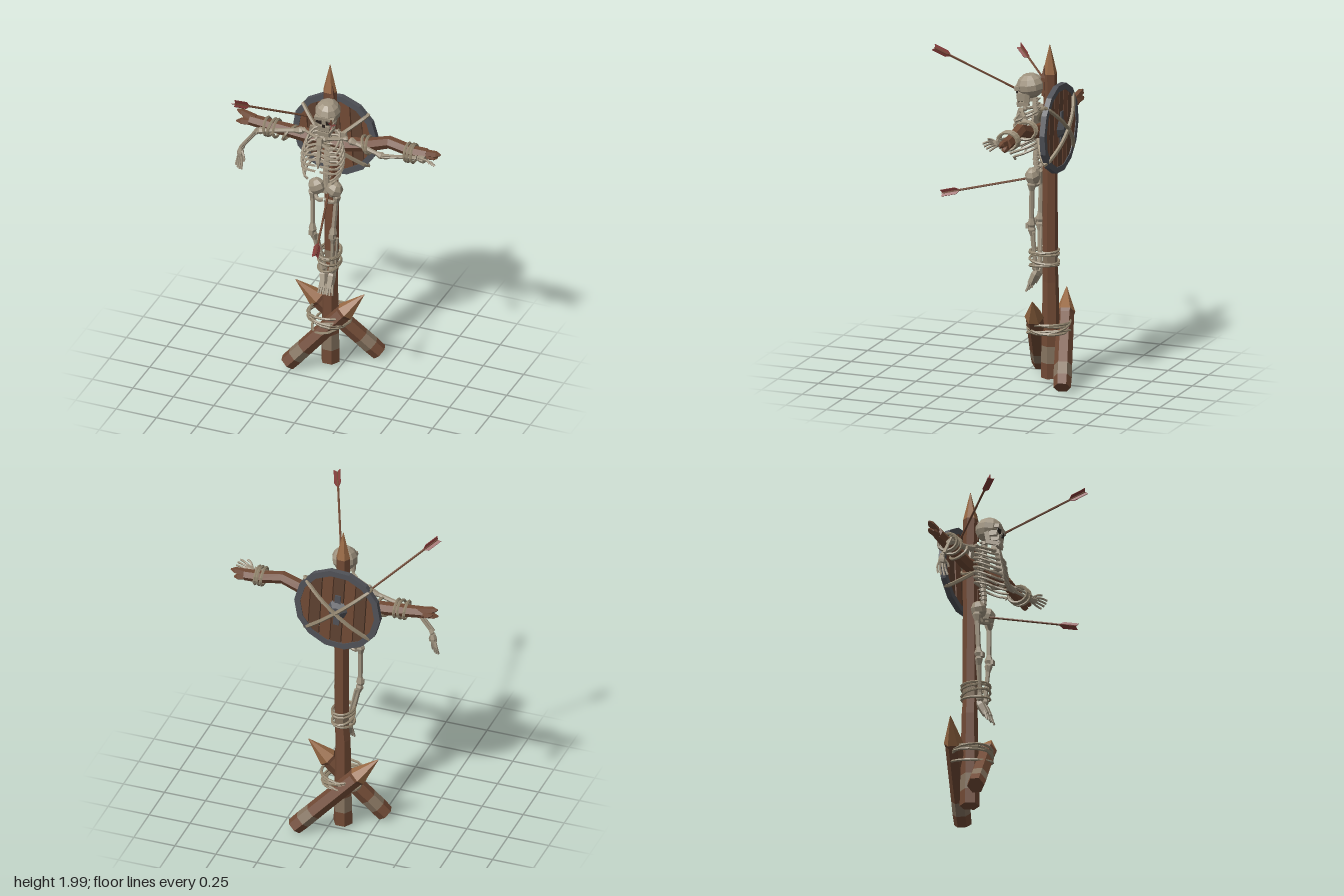
import * as THREE from 'three';

const mat = (name, color) => {
  const m = new THREE.MeshStandardMaterial({ color });
  m.name = name;
  return m;
};
const V = (x, y, z) => new THREE.Vector3(x, y, z);
const CX = -0.06; // centre line of the body

export function createModel() {
  const root = new THREE.Group();
  const wood = mat('wood', 0x714a35), cutWood = mat('cutWood', 0x996a45), plankWood = mat('plankWood', 0x5f4231);
  const worn = mat('wornWood', 0x85735f), bone = mat('bone', 0xa09480), rope = mat('rope', 0x93866f);
  const iron = mat('iron', 0x505258), red = mat('fletching', 0x833a38), dark = mat('socket', 0x2b231d);

  // Every part is faceted
  const add = (name, geo, material, parent = root) => {
    const g = geo.index ? geo.toNonIndexed() : geo;
    g.computeVertexNormals();
    const m = new THREE.Mesh(g, material);
    m.name = name;
    parent.add(m);
    return m;
  };
  const group = (name, parent = root) => {
    const g = new THREE.Group();
    g.name = name;
    parent.add(g);
    return g;
  };

  // Faceted bar through rings [x, y, z, radius]; optional material index for each section
  const loft = (name, rings, material, parent = root, sides = 6, sections = null) => {
    const c = rings.map(r => V(r[0], r[1], r[2])), pos = [], geo = new THREE.BufferGeometry();
    const dir = c[c.length - 1].clone().sub(c[0]).normalize();
    const ref = Math.abs(dir.y) > 0.8 ? V(0, 0, 1) : V(0, 1, 0);
    const P = rings.map((r, i) => {
      const t = c[Math.min(i + 1, c.length - 1)].clone().sub(c[Math.max(i - 1, 0)]).normalize();
      const u = ref.clone().addScaledVector(t, -ref.dot(t)).normalize(), v = t.clone().cross(u);
      return Array.from({ length: sides }, (_, j) => {
        const a = (j + 0.5) / sides * Math.PI * 2;
        return c[i].clone().addScaledVector(u, r[3] * Math.cos(a)).addScaledVector(v, r[3] * Math.sin(a));
      });
    });
    const tri = (...ps) => ps.forEach(p => pos.push(p.x, p.y, p.z));
    const last = rings.length - 1;
    for (let i = 0; i < last; i++) {
      const start = pos.length / 3;
      for (let j = 0; j < sides; j++) {
        const k = (j + 1) % sides;
        tri(P[i][j], P[i][k], P[i + 1][j], P[i][k], P[i + 1][k], P[i + 1][j]);
        if (i === 0) tri(c[0], P[0][k], P[0][j]);
        if (i === last - 1) tri(c[last], P[last][j], P[last][k]);
      }
      if (sections) geo.addGroup(start, pos.length / 3 - start, sections[i]);
    }
    geo.setAttribute('position', new THREE.Float32BufferAttribute(pos, 3));
    return add(name, geo, material, parent);
  };
  const woods = [wood, worn, cutWood];
  // Straight bar from a to b with [fraction, radius] stations
  const bar = (name, a, b, stations, material, parent, sides, sections) => loft(name,
    stations.map(([t, r]) => [...V(...a).lerp(V(...b), t).toArray(), r]), material, parent, sides, sections);
  const limb = (name, a, b, r, parent) => bar(name, a, b,
    [[0, r * 1.3], [0.06, r * 1.8], [0.2, r], [0.8, r * 0.95], [0.94, r * 1.7], [1, r * 1.2]], bone, parent, 6);
  const tube = (name, pts, r, material, parent, closed = false, n = 14) => add(name,
    new THREE.TubeGeometry(new THREE.CatmullRomCurve3(pts, closed), n, r, 5, closed), material, parent);
  // Rope loop: an ellipse lying flat, then turned and moved
  const ropeLoop = (name, p, rx, rz, rot, parent, r = 0.008) => {
    const e = new THREE.Euler(...rot);
    tube(name, Array.from({ length: 10 }, (_, i) => {
      const a = i / 10 * Math.PI * 2;
      return V(rx * Math.cos(a), 0, rz * Math.sin(a)).applyEuler(e).add(V(...p));
    }), r, rope, parent, true, 16);
  };
  const box = (name, size, p, material, parent, rot = [0, 0, 0]) => {
    const m = add(name, new THREE.BoxGeometry(...size), material, parent);
    m.position.set(...p);
    m.rotation.set(...rot);
    return m;
  };

  // Timber frame
  loft('post', [[-0.07, 0.03, -0.2, 0.057], [-0.07, 0.12, -0.2, 0.056], [-0.07, 0.22, -0.2, 0.053], [-0.07, 0.6, -0.2, 0.046],
    [-0.062, 0.7, -0.2, 0.043], [-0.062, 0.78, -0.2, 0.045], [-0.062, 1.25, -0.2, 0.043], [-0.07, 1.6, -0.2, 0.04],
    [-0.07, 1.83, -0.195, 0.042], [-0.07, 2, -0.195, 0.002]], woods, root, 6, [0, 1, 0, 0, 1, 0, 0, 0, 2]);
  bar('postSplinter', [-0.045, 1.7, -0.165], [-0.045, 1.88, -0.17], [[0, 0.012], [0.6, 0.016], [1, 0.001]], wood, root, 4);
  const beamShape = [[0, 0.05], [0.1, 0.053], [0.22, 0.052], [0.72, 0.05], [0.75, 0.056], [1, 0.002]];
  bar('frontBrace', [-0.275, 0.045, -0.055], [0.15, 0.53, -0.175], beamShape, woods, root, 6, [0, 1, 0, 0, 2]);
  bar('backBrace', [0.165, 0.045, -0.365], [-0.29, 0.51, -0.21], beamShape, woods, root, 6, [0, 1, 0, 0, 2]);
  loft('crossbar', [[-0.55, 1.545, -0.16, 0.034], [-0.4, 1.53, -0.165, 0.037], [-0.2, 1.515, -0.17, 0.042], [0.05, 1.515, -0.165, 0.043],
    [0.17, 1.54, -0.165, 0.04], [0.31, 1.59, -0.165, 0.037], [0.45, 1.562, -0.165, 0.035], [0.54, 1.56, -0.17, 0.034]], wood);
  for (const [x, y, z, y0] of [[-0.635, 1.585, -0.17, 1.555], [-0.63, 1.525, -0.145, 1.53], [-0.61, 1.55, -0.185, 1.54],
    [0.625, 1.575, -0.168, 1.567], [0.6, 1.54, -0.185, 1.55]]) {
    bar('brokenEnd', [Math.sign(x) * 0.52, y0, -0.165], [x, y, z], [[0, 0.024], [0.75, 0.02], [1, 0.005]], wood, root, 5);
  }

  // Rope bindings
  const ropes = group('ropeBindings');
  for (const [y, rx, rz, a, b] of [[0.3, 0.1, 0.13, 0.15, 0.2], [0.33, 0.125, 0.125, -0.1, -0.12], [0.35, 0.13, 0.12, 0.08, 0.12],
    [0.36, 0.13, 0.12, -0.12, 0.05], [0.34, 0.12, 0.125, 0.1, -0.25]]) ropeLoop('baseRope', [-0.07, y, -0.19], rx, rz, [a, 0, b], ropes);
  for (const [y, a, b] of [[0.695, 0.1, 0.1], [0.725, -0.1, -0.15], [0.765, 0, 0], [0.78, 0.08, -0.05]])
    ropeLoop('ankleRope', [-0.06, y, -0.165], 0.062, 0.088, [a, 0, b], ropes);
  for (const [x, y, tilt] of [[-0.44, 1.53, 0.1], [-0.41, 1.53, -0.15], [-0.38, 1.53, 0.05], [-0.3, 1.52, -0.5], [0.17, 1.55, 0.4],
    [0.19, 1.55, 0.15], [0.43, 1.56, 0.05], [0.45, 1.56, -0.05], [0.47, 1.56, 0.08]])
    ropeLoop('armRope', [x, y, -0.15], 0.05, 0.06, [0, tilt * 0.5, Math.PI / 2 + tilt], ropes, 0.009);
  for (const s of [-1, 1]) ropeLoop('jointRope', [-0.07, 1.52, -0.185], 0.075, 0.062, [0, 0, s * 0.75], ropes);

  // Round shield on the back of the post
  const shield = group('shield');
  shield.position.set(-0.06, 1.515, -0.255);
  shield.rotation.z = 0.06;
  const R = 0.238, n = 7, w = R * 2 / n;
  const half = x => Math.sqrt(Math.max(R * R - x * x, 0.003));
  for (let i = 0; i < n; i++) {
    const a = -R + i * w + 0.003, b = a + w - 0.006;
    const s = new THREE.Shape([[a, -half(a)], [b, -half(b)], [b, half(b)], [a, half(a)]].map(p => new THREE.Vector2(...p)));
    add('plank', new THREE.ExtrudeGeometry(s, { depth: 0.022 - (i % 2) * 0.004, bevelEnabled: false }), i % 2 ? plankWood : wood, shield)
      .position.z = -0.011;
  }
  const ringPts = r => Array.from({ length: 14 }, (_, i) => new THREE.Vector2(r * Math.cos(i * Math.PI / 7), r * Math.sin(i * Math.PI / 7)));
  const rim = new THREE.Shape(ringPts(0.262));
  rim.holes.push(new THREE.Path(ringPts(0.226)));
  add('shieldRim', new THREE.ExtrudeGeometry(rim, { depth: 0.032, bevelEnabled: false }), iron, shield).position.z = -0.016;
  const boss = add('shieldBoss', new THREE.CylinderGeometry(0.065, 0.03, 0.035, 8), iron, shield);
  boss.rotation.x = Math.PI / 2;
  boss.position.z = -0.025;
  box('shieldBrace', [0.035, 0.2, 0.008], [0, 0, -0.016], iron, shield);
  // Rope cross holding the shield
  for (const s of [-1, 1]) {
    const loop = [[0.265, -0.25], [0.14, -0.298], [0, -0.312], [-0.14, -0.298], [-0.265, -0.25], [-0.24, -0.228], [0, -0.14], [0.24, -0.228]];
    tube('shieldStrap', loop.map(([d, z]) => V(-0.06 + d * 0.77, 1.515 + s * d * 0.64, z)), 0.012, rope, ropes, true, 32);
  }

  // Skull
  const skull = group('skull');
  skull.position.set(-0.04, 1.755, -0.09);
  skull.rotation.set(0.14, 0.1, -0.08);
  const cranium = new THREE.SphereGeometry(1, 10, 7), cp = cranium.attributes.position;
  for (let i = 0; i < cp.count; i++) {
    const x = cp.getX(i), y = cp.getY(i), z = cp.getZ(i);
    const k = y < 0 ? 1 + y * 0.12 : 1;
    cp.setXYZ(i, x * 0.076 * k, Math.min(y, 0.93) * 0.074, z * 0.084 * k);
  }
  add('cranium', cranium, bone, skull);
  box('brow', [0.115, 0.022, 0.03], [0, 0.002, 0.068], bone, skull);
  box('cheeks', [0.11, 0.03, 0.05], [0, -0.042, 0.05], bone, skull);
  box('upperJaw', [0.07, 0.035, 0.06], [0, -0.062, 0.055], bone, skull);
  box('noseBridge', [0.022, 0.034, 0.018], [0, -0.018, 0.076], bone, skull);
  for (const s of [-1, 1]) {
    box('eyeSocket', [0.036, 0.028, 0.008], [s * 0.031, -0.018, 0.077], dark, skull, [0, s * 0.2, s * 0.15]);
    box('jawBranch', [0.014, 0.06, 0.028], [s * 0.048, -0.06, 0.018], bone, skull, [-0.3, 0, s * -0.12]);
    box('jawSide', [0.016, 0.024, 0.075], [s * 0.036, -0.098, 0.05], bone, skull, [0.1, s * -0.25, 0]);
  }
  box('noseHole', [0.018, 0.02, 0.008], [0, -0.042, 0.083], dark, skull);
  box('mouthGap', [0.062, 0.014, 0.008], [0, -0.083, 0.078], dark, skull);
  box('chin', [0.062, 0.028, 0.024], [0, -0.1, 0.08], bone, skull);
  for (let i = -2; i <= 2; i++) box('tooth', [0.009, 0.01, 0.008], [i * 0.013, -0.081, 0.083], bone, skull);

  // Spine and ribcage
  const torso = group('torso');
  for (let i = 0; i < 17; i++) {
    const y = 1.24 + i * 0.027, z = -0.125 + 0.012 * Math.sin(i * 0.5);
    add('vertebra', new THREE.CylinderGeometry(0.017, 0.02, 0.022, 6), bone, torso).position.set(CX + (i > 13 ? 0.008 : 0), y, z);
    box('vertebraSpur', [0.045, 0.008, 0.014], [CX, y, z - 0.012], bone, torso);
  }
  bar('sternum', [CX, 1.605, -0.025], [CX, 1.425, 0.012], [[0, 0.022], [0.2, 0.024], [0.4, 0.014], [0.8, 0.016], [1, 0.004]], bone, torso, 4);
  for (const s of [-1, 1]) {
    for (let i = 0; i < 8; i++) {
      const y = 1.605 - i * 0.03, wide = 0.075 + 0.05 * Math.sin(0.4 + i * 0.3), floating = i > 5;
      const end = floating ? V(CX + s * 0.075, y - 0.07, 0.012 - (i - 6) * 0.03) : V(CX + s * 0.012, y - 0.03 - i * 0.004, -0.015 + i * 0.006);
      tube('rib', [V(CX, y, -0.125), V(CX + s * wide * 0.7, y + 0.004, -0.135), V(CX + s * wide, y - 0.025, -0.075),
        V(CX + s * wide * 0.85, y - 0.055, -0.012), end], 0.0075, bone, torso, false, 10);
    }
    limb('collarbone', [CX + s * 0.015, 1.6, -0.03], [CX + s * 0.14, 1.595, -0.1], 0.009, torso);
    box('shoulderBlade', [0.075, 0.1, 0.014], [CX + s * 0.085, 1.55, -0.15], bone, torso, [0.1, s * -0.2, s * 0.2]);
    // Pelvis
    const hip = add('hipBone', new THREE.SphereGeometry(1, 7, 5), bone, torso);
    hip.scale.set(0.052, 0.052, 0.046);
    hip.position.set(CX - 0.005 + s * 0.055, 1.228, -0.115);
    hip.rotation.z = s * -0.4;
    tube('pubicArch', [V(CX + s * 0.075, 1.2, -0.12), V(CX + s * 0.05, 1.15, -0.1), V(CX, 1.165, -0.085)], 0.013, bone, torso, false, 6);
  }
  box('sacrum', [0.06, 0.07, 0.03], [CX, 1.215, -0.14], bone, torso);

  // Legs, hanging and tied to the post
  for (const [side, hipX, kneeX, ankleX, footX] of [['right', -0.145, -0.14, -0.085, -0.07], ['left', 0.005, -0.015, -0.03, -0.03]]) {
    const leg = group(side + 'Leg');
    limb('thighBone', [hipX, 1.2, -0.115], [kneeX, 0.925, -0.105], 0.015, leg);
    limb('shinBone', [kneeX, 0.925, -0.105], [ankleX, 0.665, -0.125], 0.013, leg);
    bar('calfBone', [kneeX + 0.018, 0.9, -0.125], [ankleX + 0.016, 0.67, -0.135], [[0, 0.01], [0.5, 0.007], [1, 0.01]], bone, leg, 5);
    box('kneecap', [0.026, 0.03, 0.014], [kneeX, 0.93, -0.08], bone, leg);
    bar('foot', [ankleX, 0.67, -0.135], [footX, 0.585, -0.095], [[0, 0.018], [0.3, 0.026], [1, 0.022]], bone, leg, 5);
    for (let i = -1.5; i <= 1.5; i++) bar('toe', [footX + i * 0.011, 0.6, -0.095], [footX + i * 0.016, 0.54, -0.065 - Math.abs(i) * 0.006],
      [[0, 0.009], [1, 0.006]], bone, leg, 4);
  }

  // Arms
  const hand = (p, d, spread, parent) => {
    const P = V(...p), D = V(...d), S = V(...spread);
    const at = (a, b) => P.clone().addScaledVector(D, a).addScaledVector(S, b);
    bar('palm', p, at(0.05, 0).toArray(), [[0, 0.014], [0.6, 0.022], [1, 0.02]], bone, parent, 6);
    for (let i = -1.5; i <= 1.5; i++) {
      const bend = at(0.125 - Math.abs(i) * 0.008, i * 0.02).add(V(0, -0.012, 0.012));
      tube('finger', [at(0.035, i * 0.01), at(0.085, i * 0.018), bend], 0.0065, bone, parent, false, 4);
    }
    tube('thumb', [at(0.015, 0.012), at(0.045, 0.04), at(0.07, 0.045)], 0.007, bone, parent, false, 4);
  };
  for (const [side, shoulder, elbow, wrist, d, spread] of [
    ['left', [0.085, 1.58, -0.11], [0.295, 1.52, -0.11], [0.505, 1.557, -0.115], [0.96, 0.08, 0.25], [-0.2, 0.6, 0.75]],
    ['right', [-0.2, 1.58, -0.11], [-0.485, 1.51, -0.115], [-0.585, 1.375, -0.11], [-0.1, -0.99, 0], [0.8, 0, 0.6]]]) {
    const arm = group(side + 'Arm');
    limb('upperArmBone', shoulder, elbow, 0.013, arm);
    limb('forearmBone', elbow, wrist, 0.0095, arm);
    bar('forearmThinBone', [elbow[0], elbow[1] + 0.016, elbow[2] + 0.012], [wrist[0], wrist[1] + 0.012, wrist[2] + 0.014],
      [[0, 0.01], [0.3, 0.007], [1, 0.009]], bone, arm, 5);
    hand(wrist, d, spread, arm);
  }

  // Arrows, from tail to where they struck
  for (const [tail, tip] of [[[-0.51, 1.835, 0.16], [-0.17, 1.595, -0.25]], [[0.19, 1.985, 0.405], [0, 1.73, -0.04]], [[0.09, 1.1, 0.4], [-0.045, 1.215, -0.12]]]) {
    const arrow = group('arrow'), a = V(...tail), dir = V(...tip).sub(a), len = dir.length();
    arrow.position.copy(a);
    arrow.quaternion.setFromUnitVectors(V(0, 0, 1), dir.normalize());
    bar('arrowShaft', [0, 0, 0], [0, 0, len], [[0, 0.0065], [1, 0.0065]], wood, arrow, 5);
    const vane = new THREE.Shape([[0, 0], [0.022, -0.012], [0.022, 0.075], [0, 0.105]].map(p => new THREE.Vector2(...p)));
    for (let i = 0; i < 3; i++) {
      const g = new THREE.ExtrudeGeometry(vane, { depth: 0.004, bevelEnabled: false });
      g.translate(0, 0, -0.002).rotateX(Math.PI / 2).rotateZ(i * Math.PI * 2 / 3 + 0.5);
      add('arrowVane', g, red, arrow);
    }
  }
  return root;
}
